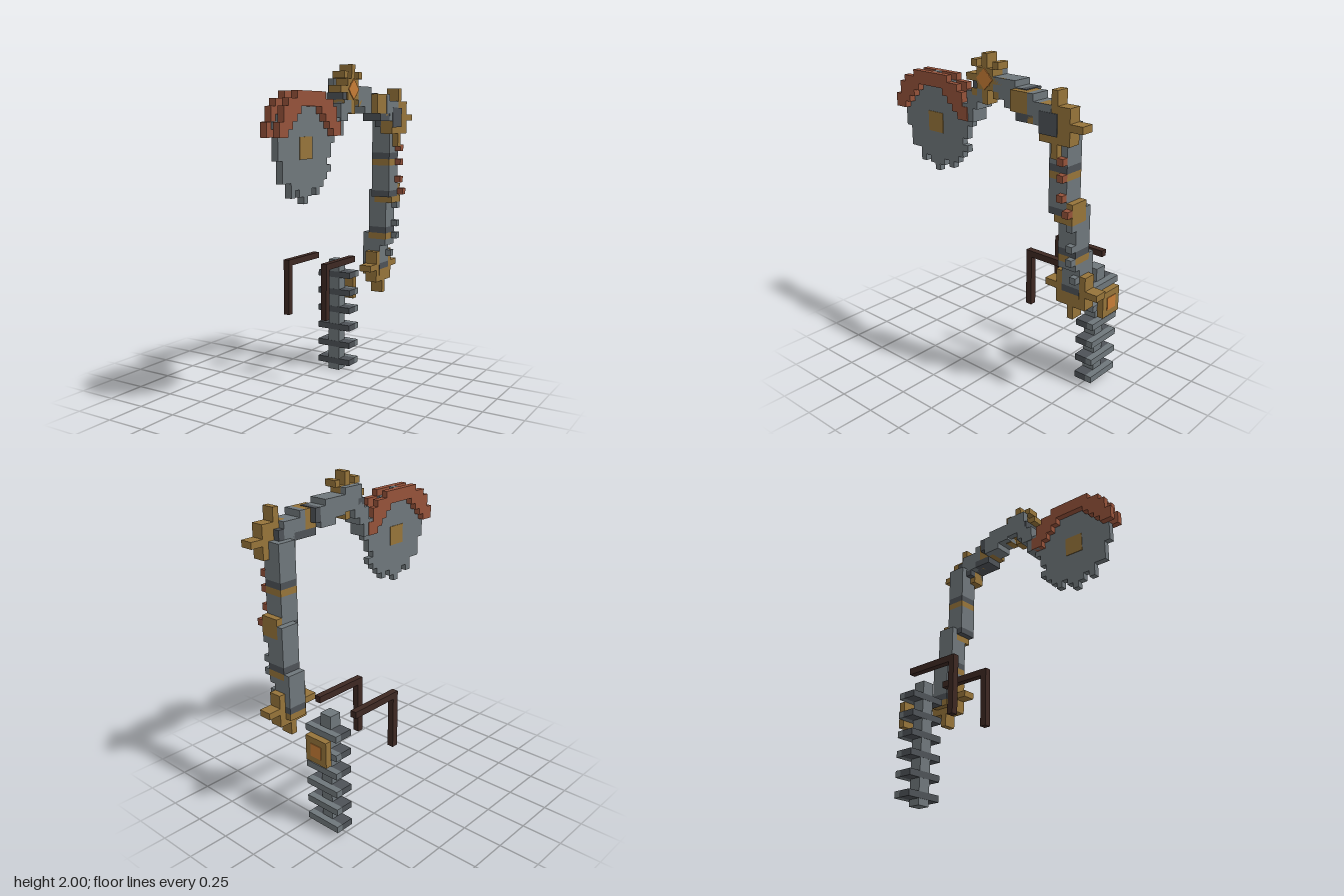
import * as THREE from 'three';

const mat = (name, color) => Object.assign(new THREE.MeshStandardMaterial({ color }), { name });
const steel = mat('steel grey', 0x6f777b);
const dark = mat('dark steel', 0x4d5257);
const brass = mat('brass', 0x96743a);
const rust = mat('rust red', 0x95523a);
const orange = mat('glowing orange', 0xc67c36);
const leather = mat('dark leather', 0x3d2822);

export function createModel() {
  const model = new THREE.Group();
  const part = (name) => {
    const g = new THREE.Group();
    g.name = name;
    model.add(g);
    return g;
  };
  // Block given by its lower and upper limits on each axis
  const box = (g, name, m, x0, x1, y0, y1, z0, z1) => {
    const b = new THREE.Mesh(new THREE.BoxGeometry(x1 - x0, y1 - y0, z1 - z0), m);
    b.position.set((x0 + x1) / 2, (y0 + y1) / 2, (z0 + z1) / 2);
    b.name = name;
    g.add(b);
    return b;
  };

  // Backbone with six ribs
  const spine = part('spine');
  box(spine, 'column', steel, -0.18, -0.10, 0, 0.76, -0.539, -0.461);
  for (let i = 0; i < 6; i++) {
    const y = 0.04 + i * 0.12;
    box(spine, 'rib', dark, -0.26, -0.02, y, y + 0.04, -0.54, -0.46);
    box(spine, 'ribBack', steel, -0.26, -0.02, y, y + 0.04, -0.58, -0.54);
  }
  box(spine, 'backPlate', brass, -0.22, -0.06, 0.48, 0.64, -0.62, -0.58);
  box(spine, 'backLight', orange, -0.18, -0.10, 0.52, 0.60, -0.624, -0.619);

  // Shoulder straps
  const straps = part('straps');
  for (const x of [-0.30, -0.02]) {
    box(straps, 'strapTop', leather, x, x + 0.04, 0.76, 0.80, -0.46, -0.10);
    box(straps, 'strapFront', leather, x, x + 0.04, 0.44, 0.76, -0.14, -0.10);
  }

  // Square gear with four long teeth
  const squareGear = (name, x0, x1, y, z) => {
    const g = part(name);
    box(g, 'gearBody', brass, x0, x1, y - 0.10, y + 0.10, z - 0.10, z + 0.10);
    for (const s of [-1, 1]) {
      const a = s * 0.14;
      box(g, 'tooth', brass, x0, x1, y + a - 0.04, y + a + 0.04, z - 0.02, z + 0.02);
      box(g, 'tooth', brass, x0, x1, y - 0.02, y + 0.02, z + a - 0.04, z + a + 0.04);
    }
  };
  squareGear('baseGear', 0.10, 0.18, 0.74, -0.56);
  squareGear('shoulderGear', 0.22, 0.30, 1.70, -0.52);

  // Leaning upright arm, stacked from slices: material, left x, y range
  const arm = part('uprightArm');
  const slices = [
    [brass, 0.06, 0.68, 0.72], [dark, 0.06, 0.72, 0.76], [steel, 0.06, 0.76, 0.92],
    [brass, 0.10, 0.92, 0.96], [dark, 0.10, 0.96, 1.00], [steel, 0.10, 1.00, 1.16],
    [brass, 0.14, 1.16, 1.20], [dark, 0.14, 1.20, 1.24], [steel, 0.14, 1.24, 1.40],
    [brass, 0.14, 1.40, 1.44], [dark, 0.14, 1.44, 1.48], [steel, 0.14, 1.48, 1.70],
  ];
  for (const [m, x, y0, y1] of slices) {
    const z = y0 < 1.2 ? -0.62 : -0.58;
    box(arm, 'armSegment', m, x, x + 0.122, y0, y1, z, z + 0.12);
  }
  box(arm, 'lowerStep', steel, 0.06, 0.10, 0.92, 0.96, -0.62, -0.50);
  box(arm, 'lowerStep', steel, 0.18, 0.22, 0.88, 0.92, -0.62, -0.50);
  box(arm, 'upperStep', steel, 0.10, 0.14, 1.16, 1.24, -0.62, -0.50);
  box(arm, 'elbowPlate', brass, 0.14, 0.26, 1.20, 1.28, -0.62, -0.58);
  for (const [x, y] of [[0.18, 0.80], [0.22, 0.92], [0.22, 1.00], [0.22, 1.12]])
    box(arm, 'steelStud', steel, x, x + 0.04, y, y + 0.04, -0.62, -0.58);
  for (const y of [1.21, 1.29, 1.40, 1.49]) {
    const z = y < 1.25 ? -0.62 : -0.58;
    box(arm, 'redStud', rust, 0.26, 0.30, y, y + 0.04, z, z + 0.04);
  }

  // Arm reaching forward from the shoulder
  const reach = part('reachingArm');
  box(reach, 'shoulderBlock', steel, 0.18, 0.302, 1.68, 1.80, -0.50, -0.38);
  box(reach, 'shoulderJoint', dark, 0.18, 0.305, 1.64, 1.76, -0.54, -0.42);
  box(reach, 'innerBlock', steel, 0.18, 0.302, 1.725, 1.84, -0.38, -0.34);
  box(reach, 'underside', dark, 0.18, 0.30, 1.68, 1.725, -0.42, -0.26);
  box(reach, 'collar', brass, 0.18, 0.30, 1.725, 1.84, -0.34, -0.22);
  box(reach, 'darkRing', dark, 0.14, 0.26, 1.76, 1.845, -0.30, -0.26);
  box(reach, 'middleBlock', steel, 0.14, 0.26, 1.725, 1.845, -0.26, -0.14);
  box(reach, 'frontBlock', steel, 0.14, 0.26, 1.765, 1.88, -0.22, -0.06);
  box(reach, 'hubBack', steel, 0.14, 0.18, 1.78, 1.92, -0.06, 0.08);
  box(reach, 'wristRing', dark, 0.14, 0.25, 1.78, 1.84, 0.05, 0.10);

  // Star gear at the wrist
  const star = part('wristGear');
  const sy = 1.86;
  box(star, 'gearBody', brass, 0.18, 0.26, sy - 0.06, sy + 0.06, -0.06, 0.06);
  box(star, 'tallTeeth', brass, 0.18, 0.26, sy - 0.14, sy + 0.14, -0.02, 0.02);
  box(star, 'longTeeth', brass, 0.18, 0.26, sy - 0.02, sy + 0.02, -0.14, 0.14);
  for (const a of [-0.08, 0.08])
    for (const b of [-0.08, 0.08])
      box(star, 'cornerTooth', brass, 0.18, 0.26, sy + a - 0.02, sy + a + 0.02, b - 0.02, b + 0.02);
  for (const turn of [0, Math.PI / 4]) {
    const s = turn ? 0.042 : 0.034;
    box(star, 'gearLight', orange, 0.258, 0.265, sy - s, sy + s, -s, s).rotation.x = turn;
  }

  // Stepped forearm down to the saw
  const forearm = part('forearm');
  box(forearm, 'forearmTop', steel, 0.14, 0.26, 1.725, 1.80, 0.02, 0.10);
  box(forearm, 'forearmMiddle', steel, 0.14, 0.26, 1.68, 1.78, 0.06, 0.14);
  box(forearm, 'forearmLow', steel, 0.145, 0.255, 1.60, 1.70, 0.10, 0.19);

  // Saw blade built from rows, with square teeth
  const saw = part('sawBlade');
  const cy = 1.54, cz = 0.44, u = 0.04;
  const row = (name, m, x0, x1, i0, i1, j0, j1) =>
    box(saw, name, m, x0, x1, cy + (j0 - 0.5) * u, cy + (j1 + 0.5) * u, cz + (i0 - 0.5) * u, cz + (i1 + 0.5) * u);
  [6, 6, 5, 5, 5, 3, 1].forEach((w, j) => {
    for (const s of j ? [-1, 1] : [1]) row('bladeRow', steel, 0.18, 0.22, -w, w, s * j, s * j);
  });
  const teeth = [[0, -7], [0, 7], [3, -6], [-3, -6], [3, 6], [-3, 6], [-4, -5], [-7, 1], [-6, -3], [-6, 3], [6, 3]];
  for (const [i, j] of teeth) row('bladeTooth', steel, 0.18, 0.22, i, i, j, j);
  row('hub', brass, 0.176, 0.224, -1, 1, -1, 1);

  // Twin arched guards: first and last column, bottom and top height
  const guard = part('sawGuard');
  const arch = [[3, 3, 1.72, 1.84], [4, 4, 1.68, 1.80], [5, 5, 1.64, 1.80], [6, 6, 1.60, 1.76], [7, 7, 1.60, 1.68]];
  for (const x of [0.14, 0.22]) {
    box(guard, 'guardTop', rust, x, x + 0.04, 1.76, 1.84, cz - 0.10, cz + 0.10);
    for (const [i, , y0, y1] of arch)
      for (const s of [-1, 1])
        box(guard, 'guardStep', rust, x, x + 0.04, y0, y1, cz + (s * i - 0.5) * u, cz + (s * i + 0.5) * u);
  }
  return model;
}
